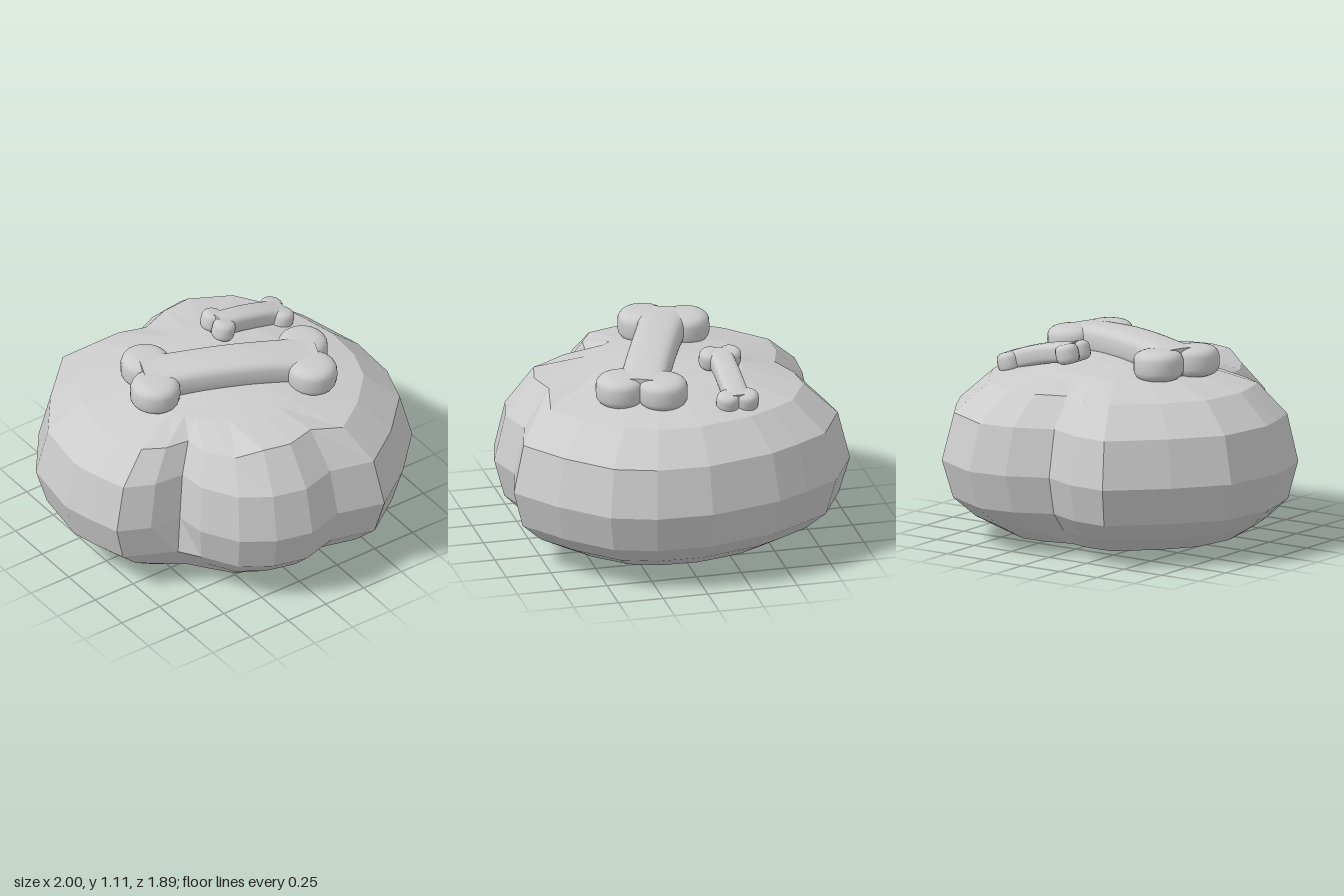
import * as THREE from 'three';
import { mergeVertices, toCreasedNormals } from 'three/addons/utils/BufferGeometryUtils.js';

// Plan outline of the rock at its widest, [x, z], from the back round by +x
const OUTLINE = [
  [-0.47, -0.91], [-0.25, -0.9], [-0.05, -0.82], [0.17, -0.92], [0.39, -0.95], [0.68, -0.8],
  [0.8, -0.61], [0.9, -0.43], [0.95, -0.23], [1, -0.03], [0.99, 0.28], [0.91, 0.52],
  [0.68, 0.76], [0.43, 0.94], [0.17, 0.87], [-0.04, 0.93], [-0.24, 0.88], [-0.41, 0.77],
  [-0.53, 0.57], [-0.61, 0.45], [-0.73, 0.39], [-0.9, 0.31], [-0.96, 0.13],
  [-1, -0.03], [-0.95, -0.38], [-0.74, -0.65],
];
const NOTCH = 19; // outline index of the cleft at the front right
const FRONT = [14, 15, 16]; // outline indices of the front lobe

// Height, outline scale, and how far the lobes fade to a circle, bottom to top
const RINGS = [
  [0, 0, 1], [0.015, 0.38, 0.7], [0.05, 0.68, 0.3], [0.14, 0.82, 0], [0.25, 0.94, 0], [0.46, 1, 0],
  [0.72, 0.935, 0], [0.88, 0.76, 0.15], [0.95, 0.46, 0.75], [0.975, 0.22, 1], [0.985, 0, 1],
];

function rockGeometry() {
  const n = OUTLINE.length;
  const pos = [];
  const index = [];
  RINGS.forEach(([y, s, round], j) => {
    OUTLINE.forEach(([x, z], i) => {
      const dent = i === NOTCH && y > 0.4 && y < 0.9 ? 0.9 : 1;
      const k = s * dent * THREE.MathUtils.lerp(1, 0.95 / Math.hypot(x, z), round);
      const lift = FRONT.includes(i) && j === 7 ? 0.045 : 0;
      pos.push(x * k, y + lift, z * k);
    });
    if (j === 0) return;
    for (let i = 0; i < n; i++) {
      const a = (j - 1) * n + i;
      const b = (j - 1) * n + ((i + 1) % n);
      if (j < RINGS.length - 1) index.push(a, a + n, b + n);
      if (j > 1) index.push(a, b + n, b);
    }
  });
  const g = new THREE.BufferGeometry();
  g.setAttribute('position', new THREE.Float32BufferAttribute(pos, 3));
  g.setIndex(index);
  g.computeVertexNormals();
  return g;
}

// Point on a squarish oval with half-axes rx and ry
function ovalPoint(angle, rx, ry) {
  const soft = (v) => Math.sign(v) * Math.abs(v) ** 0.6;
  return new THREE.Vector2(rx * soft(Math.cos(angle)), ry * soft(Math.sin(angle)));
}

// Bone along x: knobs of radius r at (±L, ±n), shaft half-width w, thickness t, ends dropped by bend
function makeBone(name, { L, n, r, w, t, bend }) {
  const bone = new THREE.Group();
  bone.name = name;
  const add = (partName, geometry) => {
    const mesh = new THREE.Mesh(geometry, new THREE.MeshStandardMaterial({ color: 0xcccccc }));
    mesh.name = partName;
    bone.add(mesh);
    return mesh;
  };

  // Shaft, arched along its length and flared into the knobs
  const end = L + r * 0.35;
  const section = Array.from({ length: 32 }, (_, i) => ovalPoint((i * Math.PI) / 16, w, t / 2));
  let shaft = new THREE.ExtrudeGeometry(new THREE.Shape(section), { depth: 2 * end, steps: 20, bevelEnabled: false });
  shaft.translate(0, 0, -end);
  shaft.rotateY(Math.PI / 2);
  const p = shaft.attributes.position;
  for (let i = 0; i < p.count; i++) {
    const u = Math.min(1, Math.abs(p.getX(i)) / L);
    p.setY(i, p.getY(i) - bend * u ** 2);
    p.setZ(i, p.getZ(i) * (1 + 0.2 * u ** 6));
  }
  shaft.deleteAttribute('uv');
  shaft.deleteAttribute('normal');
  shaft = mergeVertices(shaft, 1e-4);
  add('shaft', toCreasedNormals(shaft, 0.9));

  // Two rounded knobs at each end
  const profile = Array.from({ length: 17 }, (_, i) => ovalPoint(((i - 8) * Math.PI) / 16, r, t / 2));
  const knob = new THREE.LatheGeometry(profile, 20);
  for (const sx of [-1, 1]) {
    for (const sz of [-1, 1]) add('knob', knob).position.set(sx * L, -bend, sz * n);
  }
  return bone;
}

export function createModel() {
  const group = new THREE.Group();

  const rock = new THREE.Mesh(
    rockGeometry(),
    new THREE.MeshStandardMaterial({ color: 0xcccccc, flatShading: true }),
  );
  rock.name = 'rock';

  const large = makeBone('largeBone', { L: 0.437, n: 0.115, r: 0.137, w: 0.125, t: 0.17, bend: 0.025 });
  large.position.set(0.02, 1.027, 0.06);
  large.rotation.set(0, -0.385, -0.03);

  const small = makeBone('smallBone', { L: 0.2, n: 0.053, r: 0.064, w: 0.067, t: 0.11, bend: 0.015 });
  small.position.set(0.38, 0.995, -0.275);
  small.rotation.z = -0.24;

  group.add(rock, large, small);
  return group;
}
